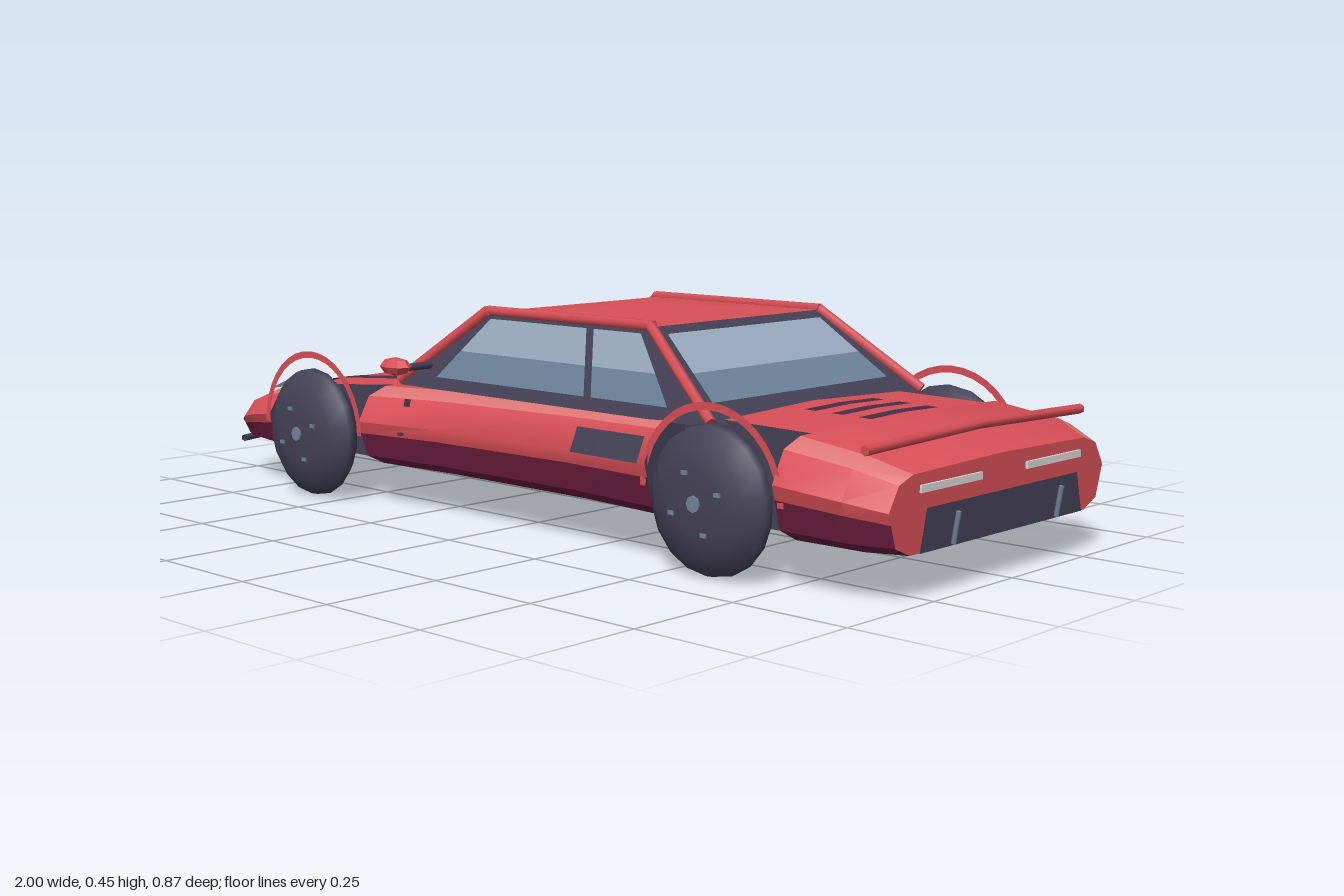
import * as THREE from 'three';
import { toCreasedNormals } from 'three/addons/utils/BufferGeometryUtils.js';

const V = (x, y, z) => new THREE.Vector3(x, y, z);
const mat = (name, color) => {
  const m = new THREE.MeshStandardMaterial({ color, side: THREE.DoubleSide });
  m.name = name;
  return m;
};

// Body stations: x, half width, top height
const STATIONS = [
  [-0.97, 0.31, 0.16], [-0.9, 0.355, 0.192], [-0.82, 0.38, 0.218], [-0.76, 0.385, 0.23],
  [-0.43, 0.385, 0.257], [-0.2, 0.368, 0.265], [0.2, 0.37, 0.274], [0.44, 0.395, 0.28],
  [0.75, 0.395, 0.275], [0.9, 0.39, 0.255], [0.975, 0.355, 0.228],
];
// Half section from floor centre to deck centre: width and height fractions
const SECTION = [[0, 0], [0.82, 0], [0.94, 0.13], [0.98, 0.43], [1, 0.58], [0.92, 0.9], [0.8, 1], [0, 1.04]];
// Paint of each section strip: 0 red, 1 plum underside, 2 light shoulder (3 is the well lining)
const STRIP_PAINT = [1, 1, 1, 0, 0, 2, 0];
const FLOOR = 0.085, WELL_Z = 0.28, WHEEL_X = [-0.595, 0.595];

// Point on the body skin at x and section parameter t
function skin(x, t) {
  let i = 0;
  while (i < STATIONS.length - 2 && x > STATIONS[i + 1][0]) i++;
  const a = STATIONS[i], b = STATIONS[i + 1], k = (x - a[0]) / (b[0] - a[0]);
  const j = Math.min(Math.floor(t), SECTION.length - 2), f = t - j;
  const w = a[1] + (b[1] - a[1]) * k, top = a[2] + (b[2] - a[2]) * k;
  const s = SECTION[j].map((v, n) => v + (SECTION[j + 1][n] - v) * f);
  return V(x, FLOOR + (top - FLOOR) * s[1], w * s[0]);
}

function triangles(list) {
  const g = new THREE.BufferGeometry();
  g.setAttribute('position', new THREE.Float32BufferAttribute(list.flatMap(p => [p.x, p.y, p.z]), 3));
  g.computeVertexNormals();
  return g;
}
const quad = (a, b, c, d) => triangles([a, b, c, a, c, d]);

// Thin painted patch that follows the body skin
function patch(x0, x1, t0, t1, side, slant = 0, n = 8) {
  const out = [];
  const p = (i, t) => {
    const v = skin(x0 + (x1 - x0) * i / n, t + slant * i / n);
    v.y += t > 5 ? 0.004 : 0;
    v.z = side * (v.z + (t > 5 ? 0 : 0.004));
    return v;
  };
  for (let i = 0; i < n; i++) {
    const a = p(i, t0), b = p(i + 1, t0), c = p(i + 1, t1), d = p(i, t1);
    out.push(...(side > 0 ? [a, b, c, a, c, d] : [a, c, b, a, d, c]));
  }
  return triangles(out);
}

// Lofted body with cut-out wheel wells, one geometry group per paint
function bodyGeometry() {
  const rings = [];
  const ring = (x, cut) => {
    const half = SECTION.map((_, t) => {
      const p = skin(x, t);
      if (cut) p.z = Math.min(p.z, WELL_Z);
      return p;
    });
    const mirror = half.slice(1, -1).reverse().map(p => V(p.x, p.y, -p.z));
    rings.push({ cut, pts: [...half, ...mirror] });
  };
  for (const [x] of STATIONS) {
    if (x === -0.76 || x === 0.44) { ring(x, false); ring(x, true); }
    else if (x === -0.43 || x === 0.75) { ring(x, true); ring(x, false); }
    else ring(x, false);
  }
  const lists = [[], [], [], []], n = rings[0].pts.length;
  const add = (list, a, b, c) => {
    if (b.clone().sub(a).cross(c.clone().sub(a)).length() > 1e-7) list.push(a, b, c);
  };
  for (let i = 0; i < rings.length - 1; i++) {
    const A = rings[i], B = rings[i + 1];
    for (let j = 0; j < n; j++) {
      const k = (j + 1) % n, q = [A.pts[j], B.pts[j], B.pts[k], A.pts[k]];
      const inWell = A.cut !== B.cut || (A.cut && q.every(p => Math.abs(p.z) > WELL_Z - 0.001));
      const list = lists[inWell ? 3 : STRIP_PAINT[Math.min(j, n - 1 - j)]];
      add(list, q[0], q[1], q[2]);
      add(list, q[0], q[2], q[3]);
    }
  }
  const first = rings[0].pts, last = rings[rings.length - 1].pts;
  for (let j = 0; j < n; j++) {
    const k = (j + 1) % n;
    add(lists[0], V(-0.97, 0.12, 0), first[j], first[k]);
    add(lists[0], V(0.975, 0.15, 0), last[k], last[j]);
  }
  const g = toCreasedNormals(triangles(lists.flat()), 0.75);
  let start = 0;
  lists.forEach((list, m) => {
    g.addGroup(start, list.length, m);
    start += list.length;
  });
  return g;
}

export function createModel() {
  const car = new THREE.Group();
  car.name = 'car';
  const red = mat('red paint', 0xd74f56), plum = mat('plum lower paint', 0x70203f);
  const rose = mat('light shoulder paint', 0xdd7674), groove = mat('plum grey grooves', 0x4a2c46);
  const dark = mat('dark trim', 0x444156), pale = mat('pale lamp', 0xdcdad8);
  const skyGlass = mat('light glass', 0x99a9bc), deepGlass = mat('deep glass', 0x6c8299);
  const steel = mat('steel', 0x708498);
  const add = (name, g, m, x = 0, y = 0, z = 0) => {
    const mesh = new THREE.Mesh(g, m);
    mesh.name = name;
    mesh.position.set(x, y, z);
    car.add(mesh);
    return mesh;
  };
  const bar = (name, a, b, r, m, sides = 6) => {
    const d = b.clone().sub(a), mid = a.clone().add(b).multiplyScalar(0.5);
    const mesh = add(name, new THREE.CylinderGeometry(r, r, d.length(), sides), m, mid.x, mid.y, mid.z);
    mesh.quaternion.setFromUnitVectors(V(0, 1, 0), d.normalize());
  };
  // Window pane, deep glass below and light glass above; corners run anticlockwise from bottom left
  const pane = (name, a, b, c, d, split) => {
    const l = a.clone().lerp(d, split), r = b.clone().lerp(c, split);
    add(name + 'Lower', quad(a, b, r, l), deepGlass);
    add(name + 'Upper', quad(l, r, c, d), skyGlass);
  };

  add('body', bodyGeometry(), [red, plum, rose, dark]);

  // Cabin: dark window surround with a shallow peaked roof
  const low = 0.27, high = 0.438;
  const base = [V(-0.35, low, 0.33), V(0.55, low, 0.335), V(0.55, low, -0.335), V(-0.35, low, -0.33)];
  const eave = [V(-0.135, high, 0.263), V(0.335, high, 0.263), V(0.335, high, -0.263), V(-0.135, high, -0.263)];
  const peak = V(0.1, 0.455, 0), roof = [], frame = [];
  for (let i = 0; i < 4; i++) {
    const k = (i + 1) % 4;
    roof.push(eave[i], eave[k], peak);
    frame.push(base[i], base[k], eave[k], base[i], eave[k], eave[i]);
  }
  add('windowSurround', triangles(frame), dark);
  add('roof', triangles(roof), red);

  // Windscreen and rear window; s is the direction each one faces
  const endPane = (name, xa, xb, s) => {
    const p = (k, z) => V(xa + (xb - xa) * k + s * 0.005, low + (high - low) * k, z);
    pane(name, p(0.22, s * 0.278), p(0.22, s * -0.278), p(0.92, s * -0.24), p(0.92, s * 0.24), 0.42);
  };
  endPane('windscreen', -0.35, -0.135, -1);
  endPane('rearWindow', 0.55, 0.335, 1);

  for (const s of [1, -1]) {
    // Side windows
    const sidePane = (name, pts) => {
      const [a, b, c, d] = pts.map(([x, y]) => V(x, y, s * (0.337 - (y - low) * 0.42)));
      if (s > 0) pane(name, a, b, c, d, 0.45);
      else pane(name, b, a, d, c, 0.45);
    };
    sidePane('frontSideWindow', [[-0.235, 0.296], [0.21, 0.296], [0.165, 0.425], [-0.12, 0.425]]);
    sidePane('rearSideWindow', [[0.23, 0.296], [0.435, 0.296], [0.315, 0.425], [0.185, 0.425]]);

    // Pillars and roof rail
    bar('frontPillar', V(-0.355, 0.28, s * 0.325), V(-0.135, 0.44, s * 0.265), 0.013, red);
    bar('rearPillar', V(0.555, 0.28, s * 0.337), V(0.335, 0.44, s * 0.265), 0.011, red);
    bar('roofRail', V(-0.14, 0.441, s * 0.262), V(0.34, 0.441, s * 0.262), 0.011, red);

    // Mirror
    bar('mirrorStalk', V(-0.27, 0.318, s * 0.29), V(-0.27, 0.318, s * 0.395), 0.008, dark);
    const head = add('mirrorHead', new THREE.SphereGeometry(1, 8, 4).toNonIndexed(), red, -0.27, 0.323, s * 0.409);
    head.geometry.computeVertexNormals();
    head.scale.set(0.042, 0.02, 0.027);

    // Painted body details
    add('hoodStripe', patch(-0.845, -0.385, 6.42, 6.58, s, -0.1), groove);
    add('doorSeam', patch(-0.312, -0.293, 3.2, 5.0, s, 0, 1), groove);
    add('sideIntake', patch(0.22, 0.42, 3.9, 4.75, s), dark);
    for (const x of [0.61, 0.675, 0.74]) add('deckVent', patch(x - 0.014, x + 0.014, 6.65, 7, s, 0, 1), groove);

    // Headlamps, tail lamps and rear posts
    const lamp = [V(-0.905, 0.206, s * 0.21), V(-0.89, 0.208, s * 0.285), V(-0.78, 0.238, s * 0.325), V(-0.8, 0.238, s * 0.23)];
    add('headlamp', quad(...(s > 0 ? lamp : lamp.reverse())), pale);
    add('tailLamp', new THREE.BoxGeometry(0.008, 0.014, 0.19), pale, 0.976, 0.2, s * 0.17);
    bar('rearPost', V(0.985, 0.09, s * 0.172), V(0.995, 0.15, s * 0.172), 0.005, steel);

    // Wheels, hubs and flat arch trims
    for (const x of WHEEL_X) {
      const profile = [[0, -0.042], [0.09, -0.042], [0.125, -0.03], [0.144, -0.01], [0.14, 0.006],
        [0.105, 0.034], [0.06, 0.041], [0, 0.043]].map(p => new THREE.Vector2(...p));
      const tyre = new THREE.LatheGeometry(profile, 18);
      add('wheel', tyre, dark, x, 0.145, s * 0.387).rotation.x = s * Math.PI / 2;
      add('hub', new THREE.CylinderGeometry(0.016, 0.016, 0.006, 8), steel, x, 0.145, s * 0.43).rotation.x = Math.PI / 2;
      for (let i = 0; i < 4; i++) {
        const a = i * Math.PI / 2 + 0.4;
        add('wheelBolt', new THREE.BoxGeometry(0.014, 0.008, 0.006), steel,
          x + Math.cos(a) * 0.06, 0.145 + Math.sin(a) * 0.06, s * 0.428);
      }
      const arch = new THREE.RingGeometry(0.16, 0.175, 18, 1, 0, Math.PI);
      add('archTrim', arch, red, x, 0.153, s * 0.386).rotation.y = s > 0 ? 0 : Math.PI;
    }

    // Rear spoiler, bowed slightly upward at the middle
    bar('spoiler', V(0.922, 0.281, 0), V(0.922, 0.272, s * 0.355), 0.01, red);
  }

  // Bumper panel, nose grille and front splitter
  add('rearBumper', quad(V(0.981, 0.086, 0.27), V(0.981, 0.086, -0.27), V(0.981, 0.165, -0.25), V(0.981, 0.165, 0.25)), dark);
  add('noseGrille', quad(V(-0.975, 0.1, -0.2), V(-0.975, 0.1, 0.2), V(-0.975, 0.122, 0.18), V(-0.975, 0.122, -0.18)), dark);
  const lip = new THREE.CatmullRomCurve3([V(-0.955, 0.084, 0.32), V(-0.985, 0.084, 0.22), V(-0.992, 0.084, 0),
    V(-0.985, 0.084, -0.22), V(-0.955, 0.084, -0.32)]);
  add('frontSplitter', new THREE.TubeGeometry(lip, 16, 0.008, 6), dark);
  return car;
}
